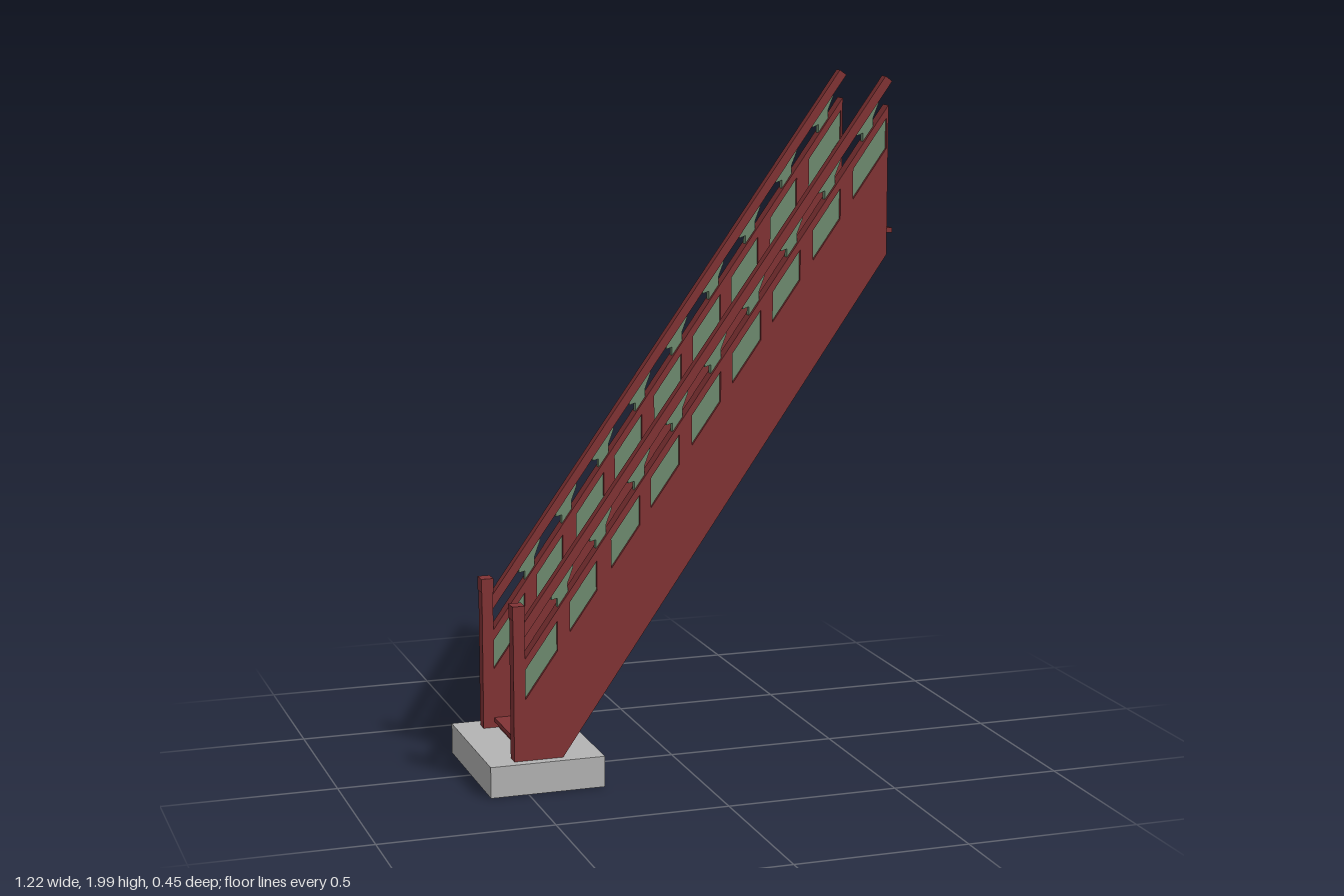
import * as THREE from 'three';

const red = new THREE.MeshStandardMaterial({ color: 0x823335 });
red.name = 'dark red timber';
const green = new THREE.MeshStandardMaterial({ color: 0x6f8c70 });
green.name = 'sage green';
const grey = new THREE.MeshStandardMaterial({ color: 0xb4b4b4 });
grey.name = 'stone grey';

// Box given by its limits on each axis
function box(name, mat, x0, x1, y0, y1, z0, z1) {
  const m = new THREE.Mesh(new THREE.BoxGeometry(x1 - x0, y1 - y0, z1 - z0), mat);
  m.position.set((x0 + x1) / 2, (y0 + y1) / 2, (z0 + z1) / 2);
  m.name = name;
  return m;
}

const points = (pts) => pts.map(([x, y]) => new THREE.Vector2(x, y));

// Side-on outline extruded along z, centred on z = 0
function plate(name, mat, pts, thick, holes = []) {
  const shape = new THREE.Shape(points(pts));
  for (const h of holes) shape.holes.push(new THREE.Path(points(h)));
  const geo = new THREE.ExtrudeGeometry(shape, { depth: thick, bevelEnabled: false });
  geo.translate(0, 0, -thick / 2);
  const m = new THREE.Mesh(geo, mat);
  m.name = name;
  return m;
}

// Sloping lines of the stair
const topEdge = (x) => 0.385 + 1.414 * (x + 0.5);
const railMid = (x) => 0.467 + 1.4 * (x + 0.5);
const underside = (x) => 0.09 + 1.438 * (x + 0.39);

// Parallelogram following the top edge, between two depths below it
const slanted = (x0, x1, hi, lo) => [
  [x0, topEdge(x0) - lo], [x1, topEdge(x1) - lo], [x1, topEdge(x1) - hi], [x0, topEdge(x0) - hi],
];

const windows = [
  [-0.499, -0.404], [-0.367, -0.287], [-0.245, -0.16], [-0.127, -0.043], [-0.005, 0.08],
  [0.115, 0.2], [0.235, 0.317], [0.355, 0.437], [0.475, 0.575],
];

function createSide() {
  const side = new THREE.Group();

  // Stringer wall with slanted openings and recessed panels
  const outline = [[-0.505, 0.09], [-0.39, 0.09], [0.58, underside(0.58)], [0.58, topEdge(0.578)], [-0.505, topEdge(-0.505)]];
  side.add(plate('stringer', red, outline, 0.04, windows.map(([a, b]) => slanted(a, b, 0.032, 0.118))));
  for (const [a, b] of windows) side.add(plate('greenPanel', green, slanted(a, b, 0.032, 0.118), 0.022));

  // Newel post with cap
  side.add(box('newelPost', red, -0.533, -0.5, 0.09, 0.5, -0.02, 0.02));
  side.add(box('newelCap', red, -0.535, -0.499, 0.5, 0.54, -0.022, 0.022));

  // Handrail
  const x0 = -0.51, x1 = 0.583;
  const length = Math.hypot(x1 - x0, railMid(x1) - railMid(x0));
  const rail = new THREE.Mesh(new THREE.BoxGeometry(length, 0.025, 0.028), red);
  rail.position.set((x0 + x1) / 2, (railMid(x0) + railMid(x1)) / 2, 0);
  rail.rotation.z = Math.atan(1.4);
  rail.name = 'handrail';
  side.add(rail);

  // Brackets flaring out beneath the handrail
  for (let i = 0; i < 9; i++) {
    const x = -0.388 + i * 0.1135;
    const at = (dx, f) => [x + dx, THREE.MathUtils.lerp(topEdge(x + dx) - 0.004, railMid(x + dx), f)];
    side.add(plate('railBracket', green,
      [at(-0.012, 0), at(0.018, 0), at(0.018, 0.35), at(0.034, 0.6), at(0.034, 1), at(-0.03, 1), at(-0.03, 0.6), at(-0.012, 0.35)], 0.018));
  }
  return side;
}

export function createModel() {
  const model = new THREE.Group();
  model.name = 'staircase';

  model.add(box('stoneBase', grey, -0.61, -0.275, 0, 0.09, -0.225, 0.225));

  for (const [name, z] of [['leftSide', -0.166], ['rightSide', 0.176]]) {
    const side = createSide();
    side.name = name;
    side.position.z = z;
    model.add(side);
  }

  // Treads and risers
  const zIn = -0.148, zOut = 0.158;
  const rise = 0.0845, run = 0.062;
  for (let i = 0; i < 17; i++) {
    const x = -0.5 + i * run, y = 0.12 + i * rise;
    model.add(box('tread', red, x, x + 0.079, y - 0.013, y, zIn, zOut));
    model.add(box('riser', red, x + 0.012, x + 0.02, Math.max(0.09, y - rise), y - 0.013, zIn, zOut));
  }

  // Top landing board and the riser under it
  model.add(box('landing', red, 0.545, 0.605, 1.545, 1.559, -0.18, 0.175));
  model.add(box('landingRiser', red, 0.562, 0.578, 1.46, 1.545, zIn, zOut));

  // Sloping soffit closing the underside
  const soffit = plate('soffit', red, [
    [-0.43, 0.09], [-0.4, 0.09], [0.578, underside(0.578) + 0.016], [0.578, underside(0.578) + 0.036],
  ], zOut - zIn);
  soffit.position.z = (zIn + zOut) / 2;
  model.add(soffit);

  return model;
}
